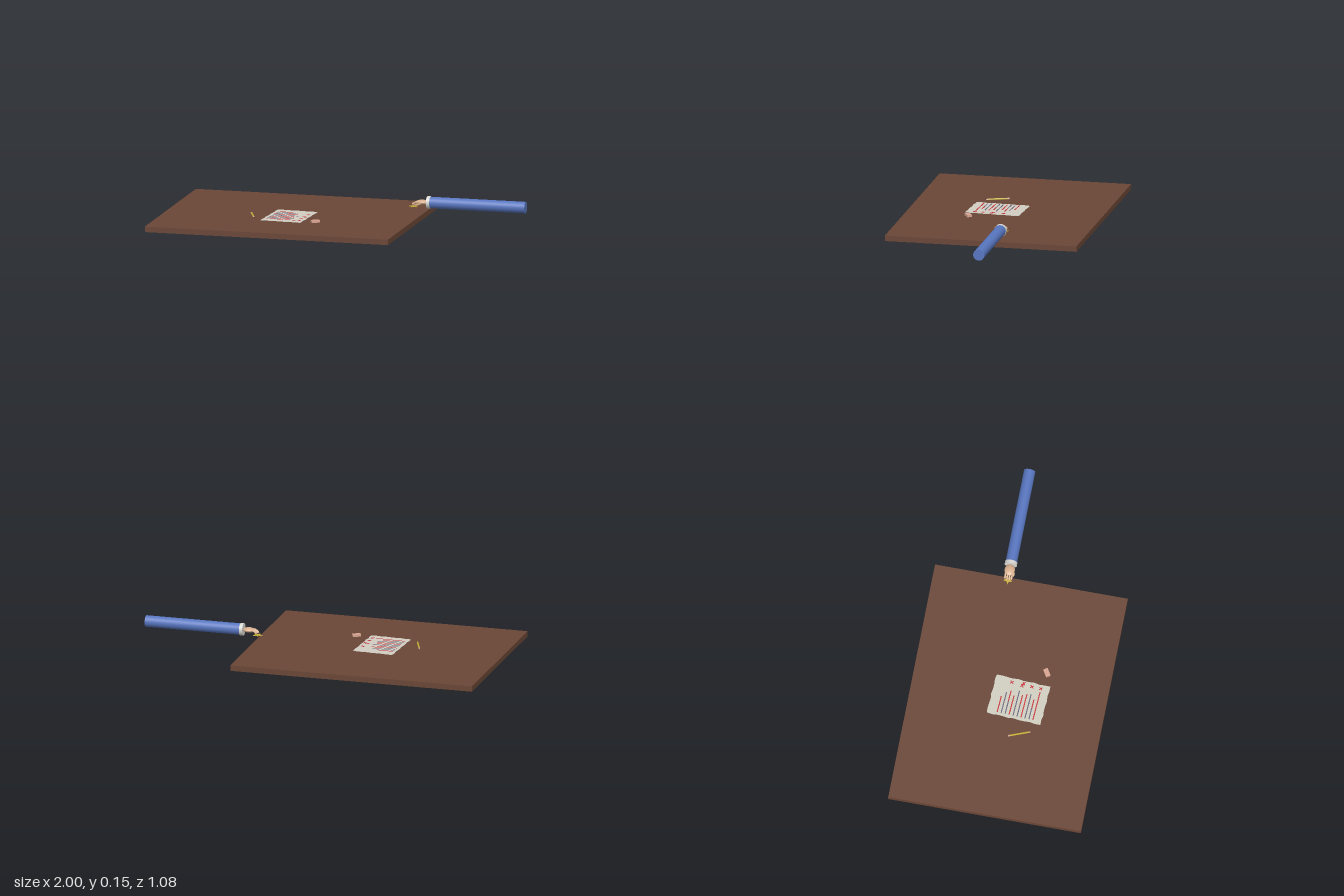
import * as THREE from 'three';

const mat = (name, color) => {
  const m = new THREE.MeshStandardMaterial({ color });
  m.name = name;
  return m;
};

export function createModel() {
  const M = {
    wood: mat('brown wood', 0x6a4636),
    paper: mat('paper', 0xd2cec2),
    ink: mat('grey ink', 0x6c6a80),
    red: mat('red ink', 0xc9373c),
    gold: mat('yellow', 0xcbb03a),
    pink: mat('eraser pink', 0xd9a593),
    skin: mat('skin', 0xd9b08e),
    blue: mat('sleeve blue', 0x5876c0),
    cuff: mat('cuff white', 0xd9d8d2),
    lead: mat('dark lead', 0x33302e),
  };
  const root = new THREE.Group();
  const add = (parent, name, geo, material, x = 0, y = 0, z = 0) => {
    const mesh = new THREE.Mesh(geo, material);
    mesh.name = name;
    mesh.position.set(x, y, z);
    parent.add(mesh);
    return mesh;
  };
  const group = (name, x, y, z, ry = 0) => {
    const g = new THREE.Group();
    g.name = name;
    g.position.set(x, y, z);
    g.rotation.y = ry;
    root.add(g);
    return g;
  };
  const box = (w, h, d) => new THREE.BoxGeometry(w, h, d);

  // Table top
  add(root, 'tableTop', box(1.392, 0.031, 1.084), M.wood, -0.304, 0.0155, 0);

  // Test sheet with slightly uneven edges
  const sheet = group('testSheet', -0.304, 0.031, 0.059, -0.055);
  const w = 0.115, h = 0.153, pts = [];
  const wob = (i) => 0.0025 * Math.sin(i * 2.3);
  for (let i = 0; i < 8; i++) pts.push(new THREE.Vector2(-w + (2 * w * i) / 8, -h + wob(i)));
  for (let i = 0; i < 10; i++) pts.push(new THREE.Vector2(w + wob(i + 3), -h + (2 * h * i) / 10));
  for (let i = 0; i < 8; i++) pts.push(new THREE.Vector2(w - (2 * w * i) / 8, h + wob(i + 5)));
  for (let i = 0; i < 10; i++) pts.push(new THREE.Vector2(-w + wob(i + 1), h - (2 * h * i) / 10));
  const sheetGeo = new THREE.ExtrudeGeometry(new THREE.Shape(pts), { depth: 0.002, bevelEnabled: false });
  add(sheet, 'paper', sheetGeo.rotateX(-Math.PI / 2), M.paper);

  // Written lines; every third one is corrected in red
  const lengths = [0.095, 0.125, 0.14, 0.115, 0.15, 0.13, 0.14, 0.145, 0.12, 0.17];
  lengths.forEach((len, i) => {
    const z = -0.097 + i * 0.0225;
    const redPart = i % 3 === 0 ? len : i % 3 === 2 ? len * 0.45 : 0;
    const x0 = -0.098;
    if (redPart < len) add(sheet, 'writtenLine', box(len - redPart, 0.001, 0.006), M.ink, x0 + (len - redPart) / 2, 0.0026, z);
    if (redPart > 0) add(sheet, 'redLine', box(redPart, 0.001, 0.006), M.red, x0 + len - redPart / 2, 0.0026, z);
  });

  // Red cross marks
  [[0.09, -0.06], [0.085, 0], [0.099, 0.006], [0.091, 0.054], [0.091, 0.104]].forEach(([x, z]) => {
    for (const s of [-1, 1]) {
      add(sheet, 'crossMark', box(0.023, 0.001, 0.005), M.red, x, 0.0027, z).rotation.y = s * 0.8;
    }
  });

  // Pencil lying along its local z axis
  const pencil = group('pencil', -0.5, 0.0365, 0.105, 0.37);
  const rod = (name, r1, r2, len, z, m) =>
    add(pencil, name, new THREE.CylinderGeometry(r1, r2, len, 6).rotateX(Math.PI / 2), m, 0, 0, z);
  rod('pencilBody', 0.0052, 0.0052, 0.104, -0.004, M.gold);
  rod('pencilCone', 0.002, 0.0052, 0.014, 0.055, M.skin);
  rod('pencilTip', 0.0002, 0.002, 0.007, 0.0655, M.lead);
  rod('pencilEraser', 0.0052, 0.0052, 0.012, -0.062, M.pink);

  // Eraser
  const eraser = group('eraser', -0.121, 0.0375, 0.184, 0.55);
  add(eraser, 'eraserBlock', box(0.046, 0.013, 0.026), M.pink);

  // Arm reaching in from the side
  const arm = group('arm', 0, 0.113, -0.125);
  const tube = (name, r, x0, x1, m) =>
    add(arm, name, new THREE.CylinderGeometry(r, r, x1 - x0, 32).rotateZ(Math.PI / 2), m, (x0 + x1) / 2);
  tube('sleeve', 0.032, 0.452, 1, M.blue);
  tube('cuff', 0.0345, 0.437, 0.456, M.cuff);

  // Hand with four fingers and a thumb
  const ball = new THREE.SphereGeometry(1, 20, 14);
  add(arm, 'palm', ball, M.skin, 0.408, 0, 0).scale.set(0.034, 0.013, 0.029);
  const finger = (name, points, r) => {
    const path = new THREE.CatmullRomCurve3(points.map((p) => new THREE.Vector3(...p)));
    add(arm, name, new THREE.TubeGeometry(path, 10, r, 8), M.skin);
    add(arm, name + 'Tip', ball, M.skin, ...points[points.length - 1]).scale.setScalar(r);
  };
  [-0.018, -0.006, 0.006, 0.018].forEach((z, i) => {
    const reach = 0.355 + (i === 0 || i === 3 ? 0.006 : 0);
    finger('finger', [[0.4, 0.001, z], [0.378, 0, z * 1.05], [reach, -0.011, z]], 0.0052);
  });
  finger('thumb', [[0.41, -0.004, 0.02], [0.388, -0.01, 0.026], [0.366, -0.015, 0.014]], 0.0056);

  // Flat gold star held below the fingers
  const star = new THREE.Shape();
  for (let i = 0; i < 10; i++) {
    const r = i % 2 ? 0.012 : 0.027, a = (i * Math.PI) / 5 + Math.PI;
    star[i ? 'lineTo' : 'moveTo'](r * Math.cos(a), r * Math.sin(a));
  }
  const starGeo = new THREE.ExtrudeGeometry(star, { depth: 0.004, bevelEnabled: false });
  add(arm, 'goldStar', starGeo.rotateX(-Math.PI / 2), M.gold, 0.358, -0.028, 0);

  return root;
}
